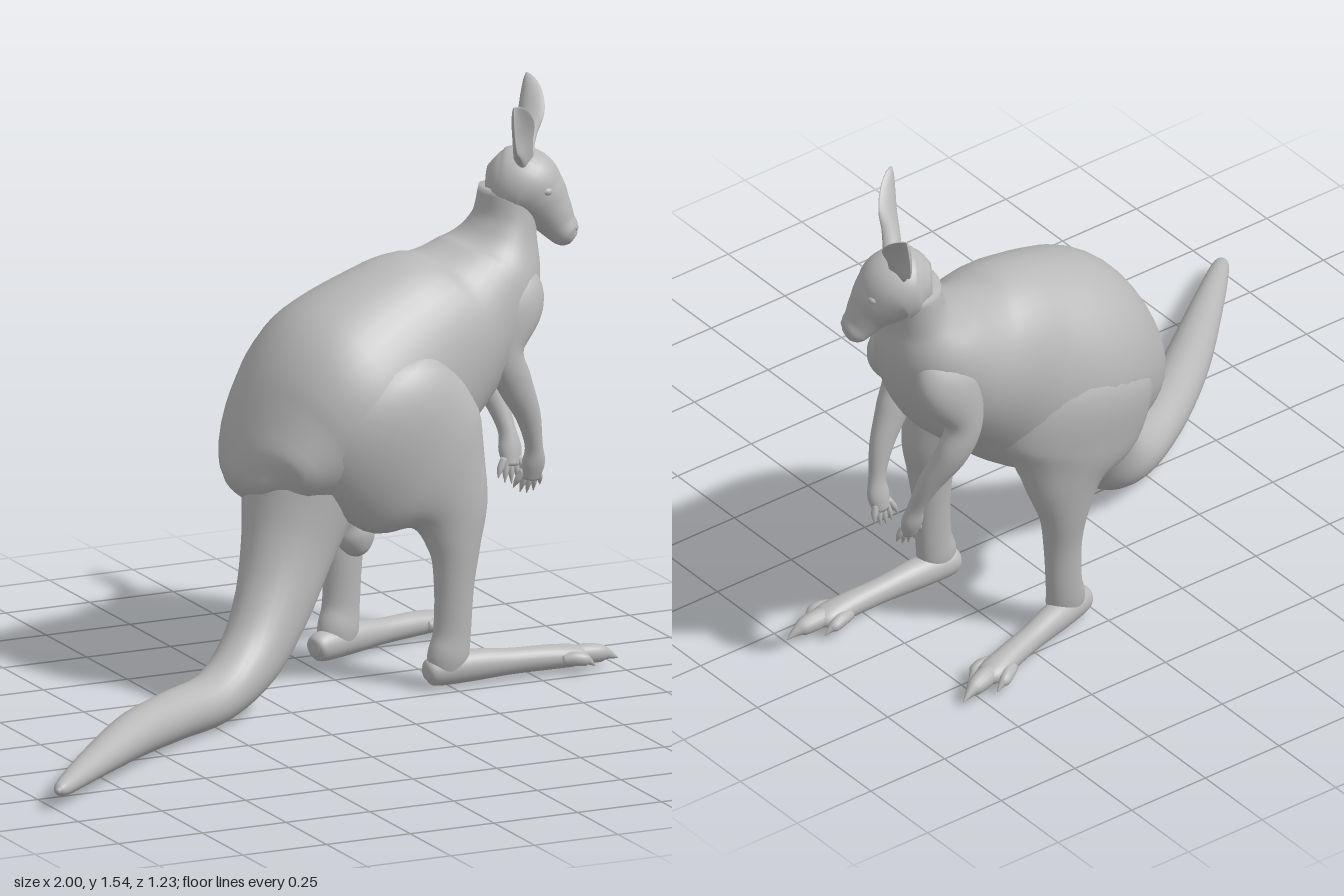
import * as THREE from 'three';

const fur = new THREE.MeshStandardMaterial({ color: 0xb8b8b8 });
fur.name = 'greyFur';

// Smooth closed skin over stations [x, y, z, height radius, side radius].
// lateral is the sideways direction of the sections; cup bends their edges forward.
function loft(name, stations, { lateral = [0, 0, 1], cup = 0, sides = 28, steps = 6 } = {}) {
  const path = new THREE.CatmullRomCurve3(stations.map(s => new THREE.Vector3(s[0], s[1], s[2])), false, 'catmullrom');
  const size = new THREE.CatmullRomCurve3(stations.map(s => new THREE.Vector3(s[3], s[4], 0)), false, 'catmullrom');
  const rows = (stations.length - 1) * steps;
  const ref = new THREE.Vector3(...lateral);
  const pos = [], index = [];
  for (let i = -1; i <= rows + 1; i++) {
    const t = THREE.MathUtils.clamp(i / rows, 0, 1);
    const end = i < 0 || i > rows ? 0 : 1; // closing points
    const c = path.getPoint(t), r = size.getPoint(t), T = path.getTangent(t);
    const L = ref.clone().addScaledVector(T, -ref.dot(T)).normalize();
    const N = L.clone().cross(T);
    for (let j = 0; j < sides; j++) {
      const a = j / sides * Math.PI * 2, s = Math.sin(a);
      const h = (Math.max(r.x, 0.001) * Math.cos(a) + cup * r.y * s * s) * end;
      const p = c.clone().addScaledVector(N, h).addScaledVector(L, Math.max(r.y, 0.001) * s * end);
      pos.push(p.x, p.y, p.z);
    }
  }
  for (let i = 0; i < rows + 2; i++) for (let j = 0; j < sides; j++) {
    const k = (j + 1) % sides, a = i * sides + j, b = i * sides + k;
    index.push(a, b, a + sides, b, b + sides, a + sides);
  }
  const g = new THREE.BufferGeometry();
  g.setAttribute('position', new THREE.Float32BufferAttribute(pos, 3));
  g.setIndex(index);
  g.computeVertexNormals();
  const mesh = new THREE.Mesh(g, fur);
  mesh.name = name;
  return mesh;
}

function ball(name, p, r) {
  const mesh = new THREE.Mesh(new THREE.SphereGeometry(1, 20, 14), fur);
  mesh.name = name;
  mesh.position.set(...p);
  mesh.scale.set(...r);
  return mesh;
}

// Long flat foot pointing along local +x with three clawed toes
function foot(name) {
  const g = new THREE.Group();
  g.name = name;
  g.add(loft('sole', [
    [-0.055, 0.04, 0, 0.018, 0.02], [-0.03, 0.043, 0, 0.04, 0.037], [0.08, 0.047, 0, 0.044, 0.04],
    [0.2, 0.044, 0, 0.036, 0.034], [0.31, 0.042, 0, 0.034, 0.037], [0.39, 0.038, 0, 0.029, 0.04],
    [0.43, 0.034, 0, 0.015, 0.02]]));
  for (const [x, z, len, r] of [[0.36, 0, 0.16, 0.028], [0.34, 0.028, 0.09, 0.02], [0.33, -0.03, 0.1, 0.019]]) {
    const zt = z * 1.6;
    g.add(loft('toe', [
      [x, 0.037, z, r * 0.8, r * 0.8], [x + len * 0.35, 0.039, (z + zt) / 2, r, r],
      [x + len * 0.65, 0.035, zt, r * 0.9, r * 0.85], [x + len * 0.8, 0.03, zt, r * 0.55, r * 0.5],
      [x + len, 0.016, zt, 0.002, 0.002]], { sides: 14, steps: 4 }));
  }
  return g;
}

// Hind leg: shared profile with its own forward shifts and sideways positions
function hindLeg(name, dxs, zs, footAt, turn) {
  const profile = [
    [0.21, 0.92, 0.05, 0.02], [0.275, 0.79, 0.235, 0.13], [0.42, 0.61, 0.235, 0.115],
    [0.5, 0.5, 0.132, 0.08], [0.519, 0.39, 0.077, 0.055], [0.516, 0.28, 0.057, 0.044],
    [0.509, 0.15, 0.054, 0.038], [0.495, 0.08, 0.06, 0.039], [0.485, 0.025, 0.045, 0.03]];
  const g = new THREE.Group();
  g.name = name;
  g.add(loft('thighAndShin', profile.map(([x, y, h, w], i) => [x + dxs[i], y, zs[i], h, w])));
  const f = foot('foot');
  f.position.set(...footAt);
  f.rotation.y = turn;
  g.add(f);
  return g;
}

// Foreleg with hand and clawed fingers
function arm(name, dx, zs, side) {
  const profile = [
    [0.765, 1.12, 0.05, 0.03], [0.775, 1.0, 0.1, 0.06], [0.742, 0.865, 0.058, 0.045],
    [0.775, 0.77, 0.05, 0.04], [0.82, 0.675, 0.036, 0.03], [0.843, 0.585, 0.025, 0.022],
    [0.847, 0.53, 0.033, 0.023], [0.843, 0.485, 0.024, 0.018]];
  const g = new THREE.Group();
  g.name = name;
  g.add(loft('foreleg', profile.map(([x, y, h, w], i) => [x + dx, y, zs[i], h, w])));
  const z = zs[7];
  for (let i = 0; i < 5; i++) {
    const o = (i - 2) / 2, drop = 0.07 - 0.02 * o * o;
    g.add(loft('finger', [
      [0.843 + dx + o * 0.02, 0.51, z, 0.01, 0.01],
      [0.84 + dx + o * 0.033, 0.51 - drop * 0.55, z - side * 0.007, 0.009, 0.009],
      [0.838 + dx + o * 0.04, 0.51 - drop, z - side * 0.014, 0.001, 0.001]], { sides: 8, steps: 4 }));
  }
  return g;
}

export function createModel() {
  const model = new THREE.Group();
  model.name = 'kangaroo';

  // Torso from rump to neck
  model.add(loft('body', [
    [-0.03, 0.585, -0.16, 0.02, 0.03], [0.012, 0.607, -0.185, 0.105, 0.155], [0.13, 0.667, -0.24, 0.237, 0.238],
    [0.29, 0.755, -0.28, 0.308, 0.277], [0.495, 0.87, -0.312, 0.28, 0.23], [0.66, 0.957, -0.35, 0.218, 0.193],
    [0.765, 1.065, -0.37, 0.152, 0.16], [0.81, 1.17, -0.372, 0.09, 0.108], [0.828, 1.27, -0.375, 0.078, 0.09]],
    { sides: 40 }));

  // Heavy tail bending to the ground and out to one side
  model.add(loft('tail', [
    [0.15, 0.6, -0.23, 0.18, 0.17], [0.075, 0.42, -0.175, 0.135, 0.117], [0.0, 0.27, -0.12, 0.11, 0.093],
    [-0.1, 0.145, -0.06, 0.092, 0.085], [-0.24, 0.075, 0.02, 0.073, 0.08], [-0.42, 0.068, 0.125, 0.068, 0.072],
    [-0.6, 0.07, 0.26, 0.062, 0.064], [-0.8, 0.06, 0.435, 0.043, 0.046], [-0.96, 0.048, 0.58, 0.024, 0.025],
    [-0.995, 0.045, 0.61, 0.006, 0.006]]));

  // Pear-shaped bulge hanging under the belly
  model.add(loft('underside', [
    [0.27, 0.52, -0.25, 0.07, 0.06], [0.295, 0.44, -0.245, 0.055, 0.045], [0.305, 0.395, -0.24, 0.057, 0.045],
    [0.312, 0.355, -0.238, 0.034, 0.03], [0.315, 0.34, -0.238, 0.008, 0.008]]));

  // Hind legs, the left one set further back
  model.add(hindLeg('rightHindLeg', [0, 0, 0, 0, 0, 0, 0, 0, 0],
    [-0.2, -0.132, -0.11, -0.087, -0.07, -0.065, -0.063, -0.06, -0.06], [0.485, 0, -0.065], 0));
  model.add(hindLeg('leftHindLeg', [0.05, 0.03, -0.08, -0.13, -0.145, -0.145, -0.145, -0.145, -0.145],
    [-0.38, -0.425, -0.445, -0.46, -0.465, -0.455, -0.45, -0.44, -0.435], [0.315, 0, -0.43], 0.31));

  // Forelegs
  model.add(arm('rightArm', 0, [-0.32, -0.258, -0.227, -0.23, -0.24, -0.25, -0.26, -0.27], 1));
  model.add(arm('leftArm', 0.005, [-0.42, -0.48, -0.506, -0.5, -0.463, -0.43, -0.415, -0.4], -1));

  // Head, turned slightly to its right
  const lateral = [-0.51, 0, 0.86];
  model.add(loft('head', [
    [0.783, 1.28, -0.41, 0.05, 0.05], [0.817, 1.28, -0.387, 0.093, 0.092], [0.863, 1.278, -0.362, 0.104, 0.102],
    [0.9, 1.243, -0.343, 0.087, 0.086], [0.927, 1.205, -0.327, 0.066, 0.064], [0.95, 1.168, -0.315, 0.05, 0.051],
    [0.97, 1.143, -0.305, 0.04, 0.045], [0.984, 1.131, -0.298, 0.02, 0.025]], { lateral }));
  model.add(ball('nose', [0.98, 1.163, -0.3], [0.018, 0.017, 0.024]));
  for (const [name, s] of [['rightEye', 1], ['leftEye', -1]])
    model.add(ball(name, [0.923 - s * 0.031, 1.277, -0.328 + s * 0.052], [0.018, 0.014, 0.018]));

  // Cupped upright ears
  const ear = (name, base, tip, lat, cup) => {
    const at = (t, h, w) => [...base.map((b, i) => b + (tip[i] - b) * t), h, w];
    model.add(loft(name, [at(0, 0.025, 0.028), at(0.25, 0.02, 0.036), at(0.5, 0.011, 0.053),
      at(0.75, 0.008, 0.044), at(0.92, 0.006, 0.023), at(1, 0.002, 0.003)], { lateral: lat, cup, sides: 24 }));
  };
  ear('rightEar', [0.85, 1.345, -0.33], [0.765, 1.54, -0.21], [0.78, 0, -0.62], 0.4);
  ear('leftEar', [0.875, 1.345, -0.4], [0.955, 1.54, -0.525], [-0.05, 0, -1], 0.6);

  return model;
}
